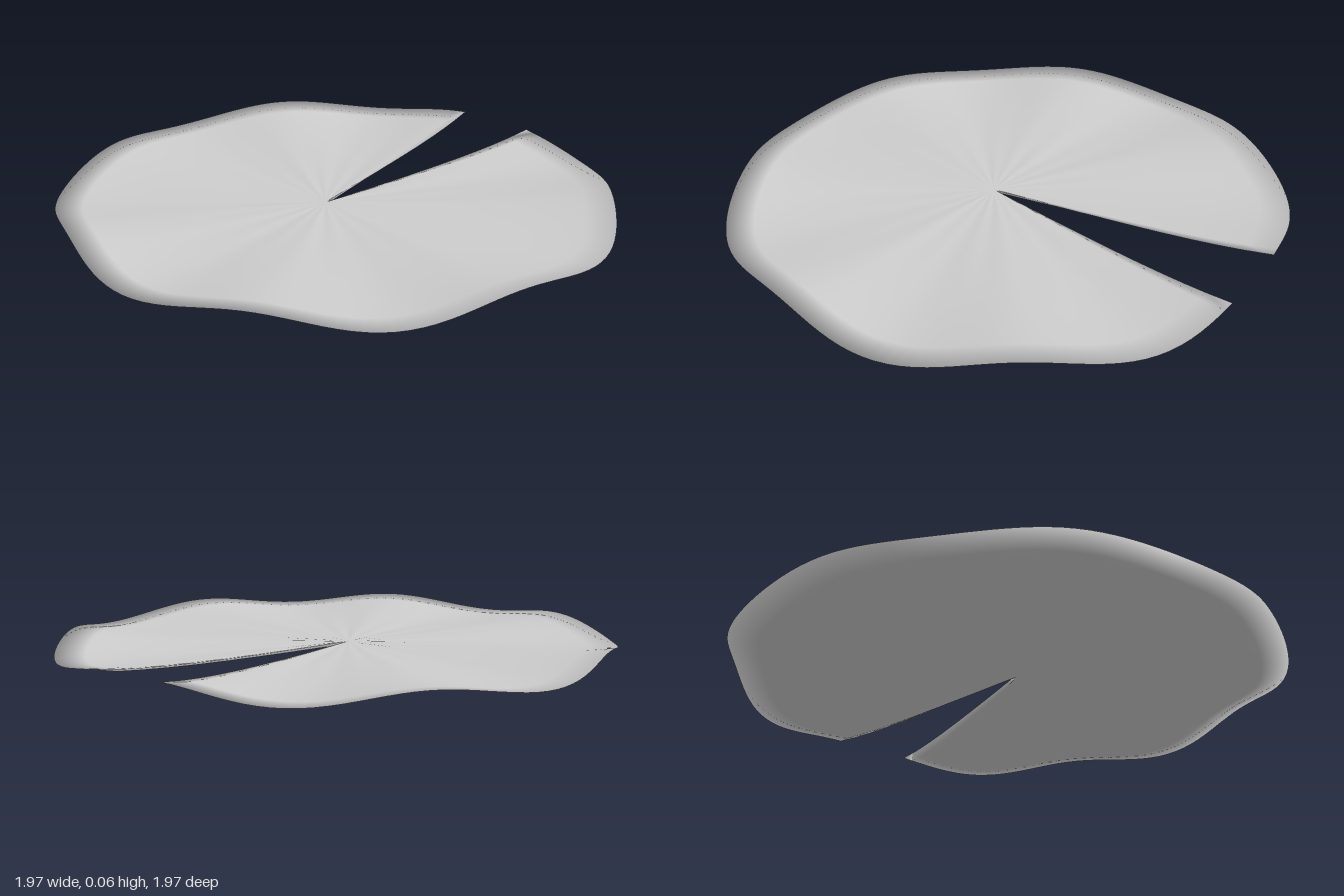
import * as THREE from 'three';
import { mergeVertices } from 'three/addons/utils/BufferGeometryUtils.js';

const STEPS = 144;
const RINGS = [0, 0.06, 0.14, 0.25, 0.37, 0.5, 0.62, 0.73, 0.82, 0.9, 1];
const START = THREE.MathUtils.degToRad(-5.9);
const END = THREE.MathUtils.degToRad(336.2);
const HUB = { x: -0.06, z: 0.018 };
const THICKNESS = 0.01;

// Point on the rippled leaf: a = angle, s = 0 at the hub to 1 at the rim
function leafPoint(a, s) {
  const wave = Math.cos(7.2 * (a - 0.663));
  const radius = 0.987 - 0.013 * wave;
  const vein = Math.sin(22 * a) + 0.5 * Math.sin(13 * a + 1);
  const y = 0.02 + 0.023 * s ** 5 + 0.02 * wave * s * s + 0.006 * vein * s * (1 - s) ** 2;
  return [
    THREE.MathUtils.lerp(HUB.x, radius * Math.cos(a), s),
    y,
    THREE.MathUtils.lerp(HUB.z, radius * Math.sin(a), s),
  ];
}

// Closed thin leaf: upper and lower skins meet along the rim and the notch
function leafGeometry() {
  const positions = [];
  const index = [];
  const row = RINGS.length;
  const skin = row * (STEPS + 1);
  for (const lower of [0, 1]) {
    for (let i = 0; i <= STEPS; i++) {
      const a = THREE.MathUtils.lerp(START, END, i / STEPS);
      RINGS.forEach((s) => {
        const [x, y, z] = leafPoint(a, s);
        const edge = s === 1 || i === 0 || i === STEPS;
        positions.push(x, y - (lower && !edge ? THICKNESS : 0), z);
      });
    }
    for (let i = 0; i < STEPS; i++) {
      for (let j = 0; j < row - 1; j++) {
        const a = lower * skin + i * row + j;
        const b = a + 1, c = a + row, d = c + 1;
        if (lower) index.push(a, b, d, a, d, c);
        else index.push(a, d, b, a, c, d);
      }
    }
  }
  let geometry = new THREE.BufferGeometry();
  geometry.setAttribute('position', new THREE.Float32BufferAttribute(positions, 3));
  geometry.setIndex(index);
  geometry = mergeVertices(geometry, 1e-5);
  geometry.computeVertexNormals();
  geometry.computeBoundingBox();
  geometry.translate(0, -geometry.boundingBox.min.y, 0);
  return geometry;
}

export function createModel() {
  const leafGrey = new THREE.MeshStandardMaterial({ color: 0xcccccc });
  leafGrey.name = 'leafGrey';
  leafGrey.side = THREE.DoubleSide;

  const leaf = new THREE.Mesh(leafGeometry(), leafGrey);
  leaf.name = 'floatingLeaf';

  const model = new THREE.Group();
  model.name = 'lilyPad';
  model.add(leaf);
  return model;
}
